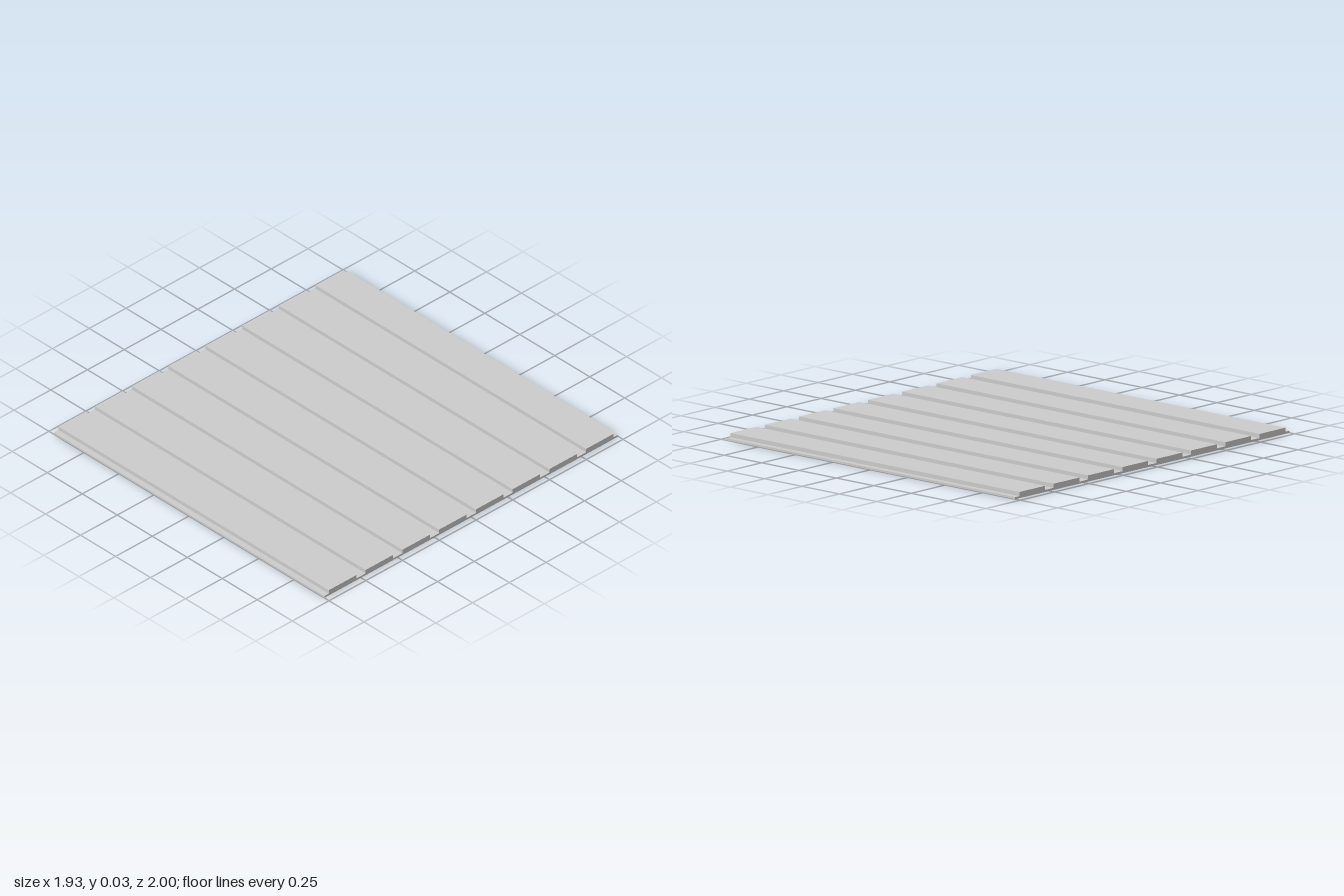
import * as THREE from 'three';

const WIDTH = 1.932;      // along x
const DEPTH = 2;          // along z
const BASE = 0.0104;      // backing thickness
const TOP = 0.0312;       // overall height
const SLATS = 8;
const PITCH = DEPTH / SLATS;
const SLAT_DEPTH = 0.1875;

export function createModel() {
  const group = new THREE.Group();
  group.name = 'slattedPanel';
  const material = new THREE.MeshStandardMaterial({ color: 0xcccccc });

  // Thin backing sheet
  const base = new THREE.Mesh(new THREE.BoxGeometry(WIDTH, BASE, DEPTH), material);
  base.name = 'backingSheet';
  base.position.y = BASE / 2;
  group.add(base);

  // Evenly spaced raised slats running along x
  const slatGeometry = new THREE.BoxGeometry(WIDTH, TOP - BASE, SLAT_DEPTH);
  for (let i = 0; i < SLATS; i++) {
    const slat = new THREE.Mesh(slatGeometry, material);
    slat.name = `slat${i + 1}`;
    slat.position.set(0, (TOP + BASE) / 2, (i + 0.5) * PITCH - DEPTH / 2);
    group.add(slat);
  }
  return group;
}
